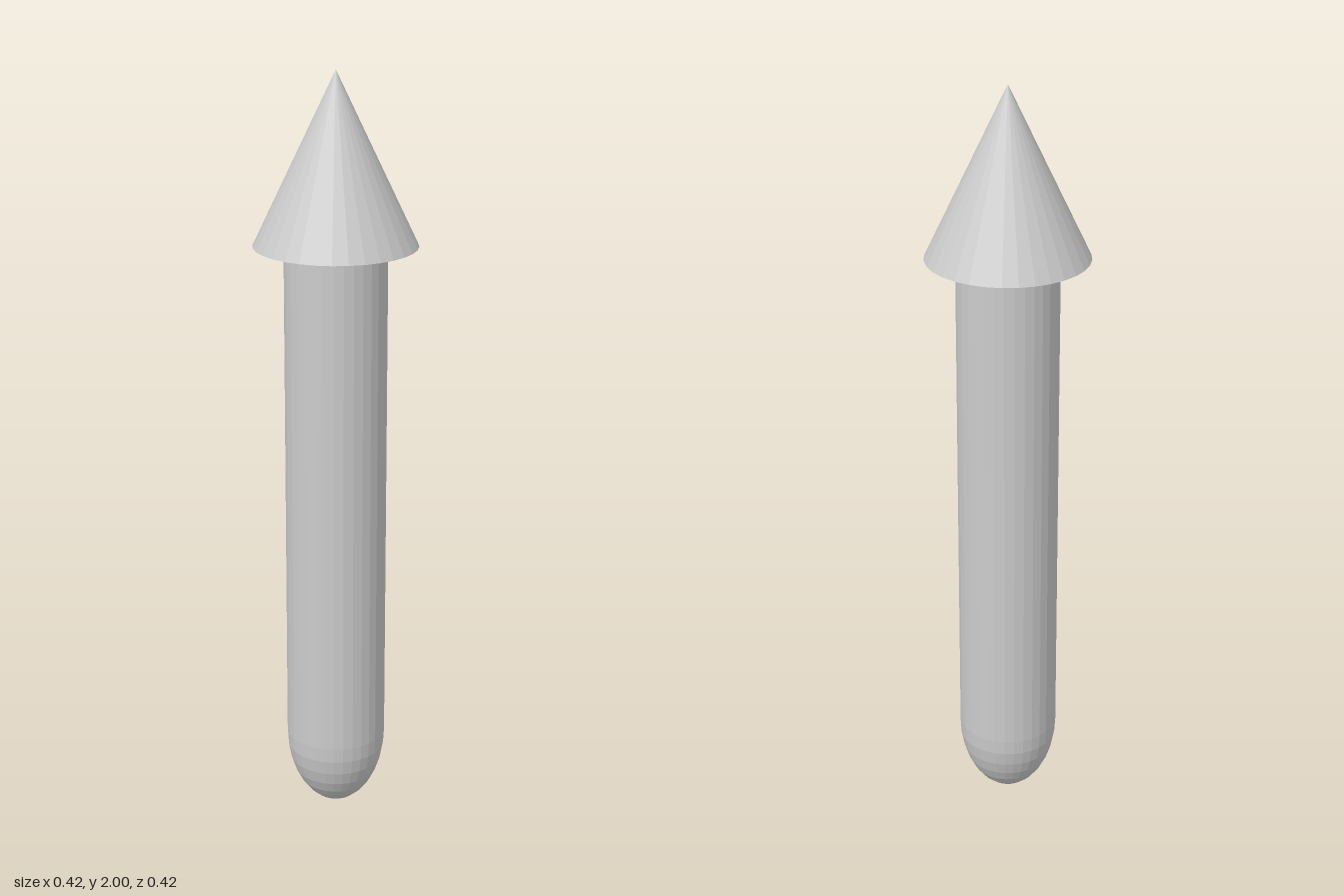
import * as THREE from 'three';

const SIDES = 32;
const SHAFT_RADIUS = 0.132;
const TIP_HEIGHT = 0.21; // height of the rounded lower end
const HEAD_BASE = 1.56;
const HEAD_RADIUS = 0.21;
const TOP = 2;

export function createModel() {
  const group = new THREE.Group();
  group.name = 'arrow';
  const material = new THREE.MeshStandardMaterial({ color: 0xcccccc, flatShading: true });

  const add = (name, geometry, y) => {
    const mesh = new THREE.Mesh(geometry, material);
    mesh.name = name;
    mesh.position.y = y;
    group.add(mesh);
  };

  // Pointed head with a flat underside
  const headHeight = TOP - HEAD_BASE;
  add('head', new THREE.ConeGeometry(HEAD_RADIUS, headHeight, SIDES), HEAD_BASE + headHeight / 2);

  // Straight shaft, closed off by the head and the rounded end
  const shaftLength = HEAD_BASE - TIP_HEIGHT;
  add('shaft', new THREE.CylinderGeometry(SHAFT_RADIUS, SHAFT_RADIUS, shaftLength, SIDES, 1, true),
    TIP_HEIGHT + shaftLength / 2);

  // Rounded lower end: half a sphere stretched along y
  const end = new THREE.SphereGeometry(1, SIDES, 8, 0, Math.PI * 2, Math.PI / 2, Math.PI / 2);
  end.scale(SHAFT_RADIUS, TIP_HEIGHT, SHAFT_RADIUS);
  add('roundedEnd', end, TIP_HEIGHT);

  return group;
}
